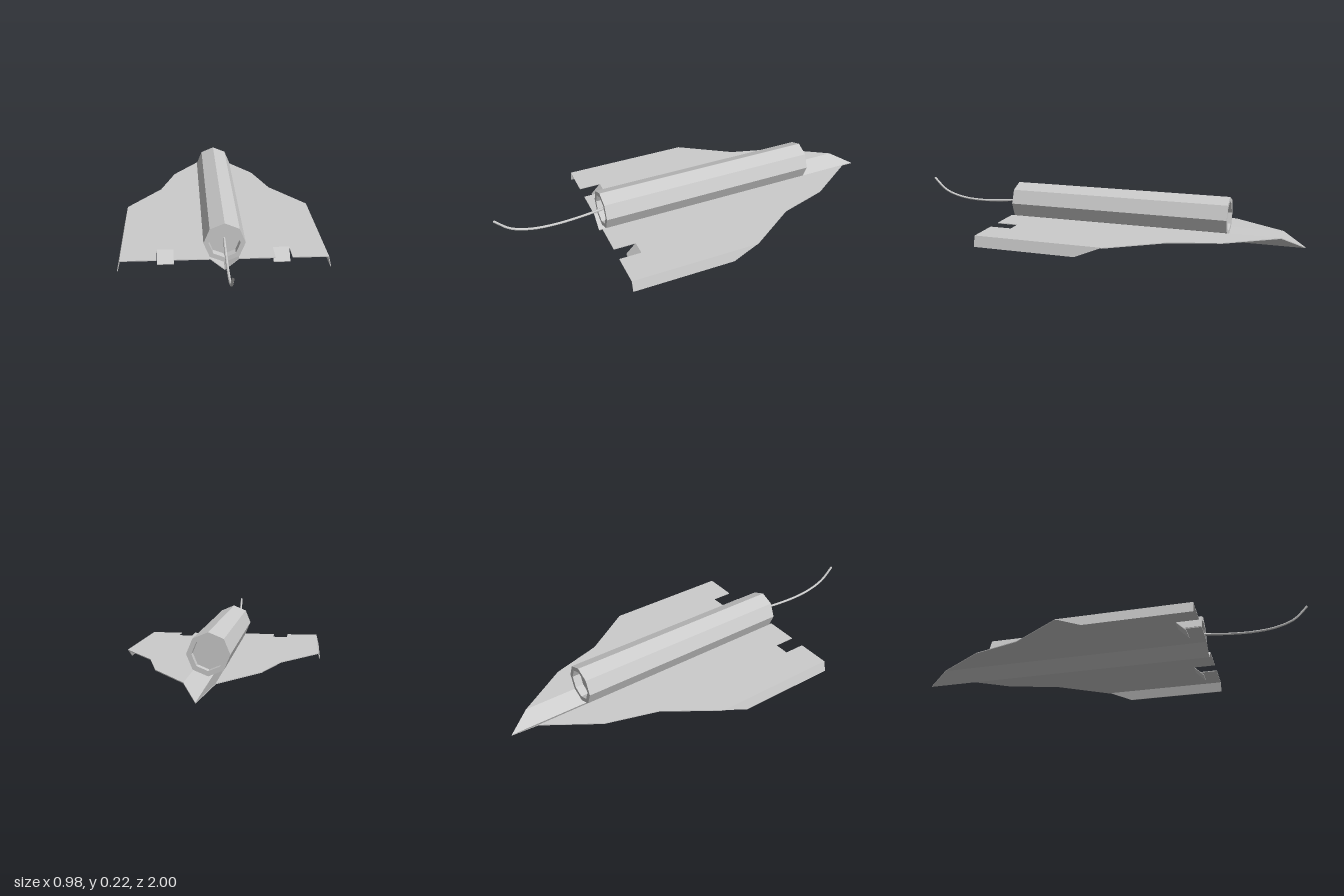
import * as THREE from 'three';

const SHEET = 0.004; // sheet thickness
const DECK = 0.058; // height of the flat deck

const grey = new THREE.MeshStandardMaterial({ color: 0xcccccc, flatShading: true });
const thin = new THREE.MeshStandardMaterial({ color: 0xcccccc, flatShading: true, side: THREE.DoubleSide });

// Thin folded panel: a 3D outline, thickened by an offset on its underside
function panel(name, outline, side, offset) {
  let top = outline.map(([x, y, z]) => new THREE.Vector3(x * side, y, z));
  const flat = (p) => new THREE.Vector2(p.x, -p.z);
  if (THREE.ShapeUtils.isClockWise(top.map(flat))) top = top.reverse();
  const shift = new THREE.Vector3(offset[0] * side, offset[1], offset[2]);
  const bottom = top.map((p) => p.clone().add(shift));
  const pos = [];
  const tri = (...ps) => ps.forEach((p) => pos.push(p.x, p.y, p.z));
  for (let [a, b, c] of THREE.ShapeUtils.triangulateShape(top.map(flat), [])) {
    if (THREE.ShapeUtils.isClockWise([a, b, c].map((i) => flat(top[i])))) [b, c] = [c, b];
    tri(top[a], top[b], top[c]);
    tri(bottom[a], bottom[c], bottom[b]);
  }
  top.forEach((p, i) => {
    const j = (i + 1) % top.length;
    tri(p, bottom[i], bottom[j]);
    tri(p, bottom[j], top[j]);
  });
  const geo = new THREE.BufferGeometry();
  geo.setAttribute('position', new THREE.Float32BufferAttribute(pos, 3));
  geo.computeVertexNormals();
  const mesh = new THREE.Mesh(geo, thin);
  mesh.name = name;
  return mesh;
}

export function createModel() {
  const model = new THREE.Group();
  model.name = 'foldedGlider';

  // Folded sheet body, one half per side
  for (const side of [1, -1]) {
    const half = new THREE.Group();
    half.name = side > 0 ? 'leftHalf' : 'rightHalf';

    // Flat wing deck with a notch in its rear edge
    const deck = [
      [0.065, -0.89], [0.23, -0.64], [0.305, -0.39], [0.477, -0.135], [0.477, 0.505],
      [0.31, 0.505], [0.31, 0.395], [0.232, 0.395], [0.232, 0.505], [0.065, 0.505],
    ].map(([x, z]) => [x, DECK, z]);
    half.add(panel('wing', deck, side, [0, -SHEET, 0]));

    // V-shaped keel wall
    half.add(panel('keel', [
      [0, SHEET, -1], [0.065, DECK, -0.89], [0.065, DECK, 0.505], [0, SHEET, 0.505],
    ], side, [0, -SHEET, 0]));

    // Turned-down wing edge
    half.add(panel('wingEdge', [
      [0.477, DECK, -0.135], [0.49, 0.005, -0.005], [0.49, 0.005, 0.505], [0.477, DECK, 0.505],
    ], side, [-SHEET, 0, 0]));

    // Flap bent down in front of the notch
    half.add(panel('flap', [
      [0.232, DECK, 0.395], [0.31, DECK, 0.395], [0.31, 0.008, 0.445], [0.232, 0.008, 0.445],
    ], side, [0, -SHEET, 0]));
    model.add(half);
  }

  // Eight-sided barrel with a recessed plug at both ends
  const h = 0.56, ro = 0.096, ri = 0.073, recess = 0.04;
  const profile = [
    [0, -h + recess], [ri, -h + recess], [ri, -h], [ro, -h],
    [ro, h], [ri, h], [ri, h - recess], [0, h - recess],
  ].map(([r, y]) => new THREE.Vector2(r, y));
  const barrel = new THREE.Mesh(new THREE.LatheGeometry(profile, 8), grey);
  barrel.name = 'barrel';
  barrel.rotation.x = Math.PI / 2;
  barrel.position.set(0, 0.128, -0.073);
  model.add(barrel);

  // Curved fuse trailing from the rear plug
  const path = new THREE.CatmullRomCurve3([
    [0.133, 0.44], [0.126, 0.5], [0.115, 0.6], [0.11, 0.73], [0.121, 0.84], [0.153, 0.93], [0.215, 0.997],
  ].map(([y, z]) => new THREE.Vector3(0, y, z)));
  const fuse = new THREE.Mesh(new THREE.TubeGeometry(path, 24, 0.006, 8), thin);
  fuse.name = 'fuse';
  model.add(fuse);

  return model;
}
